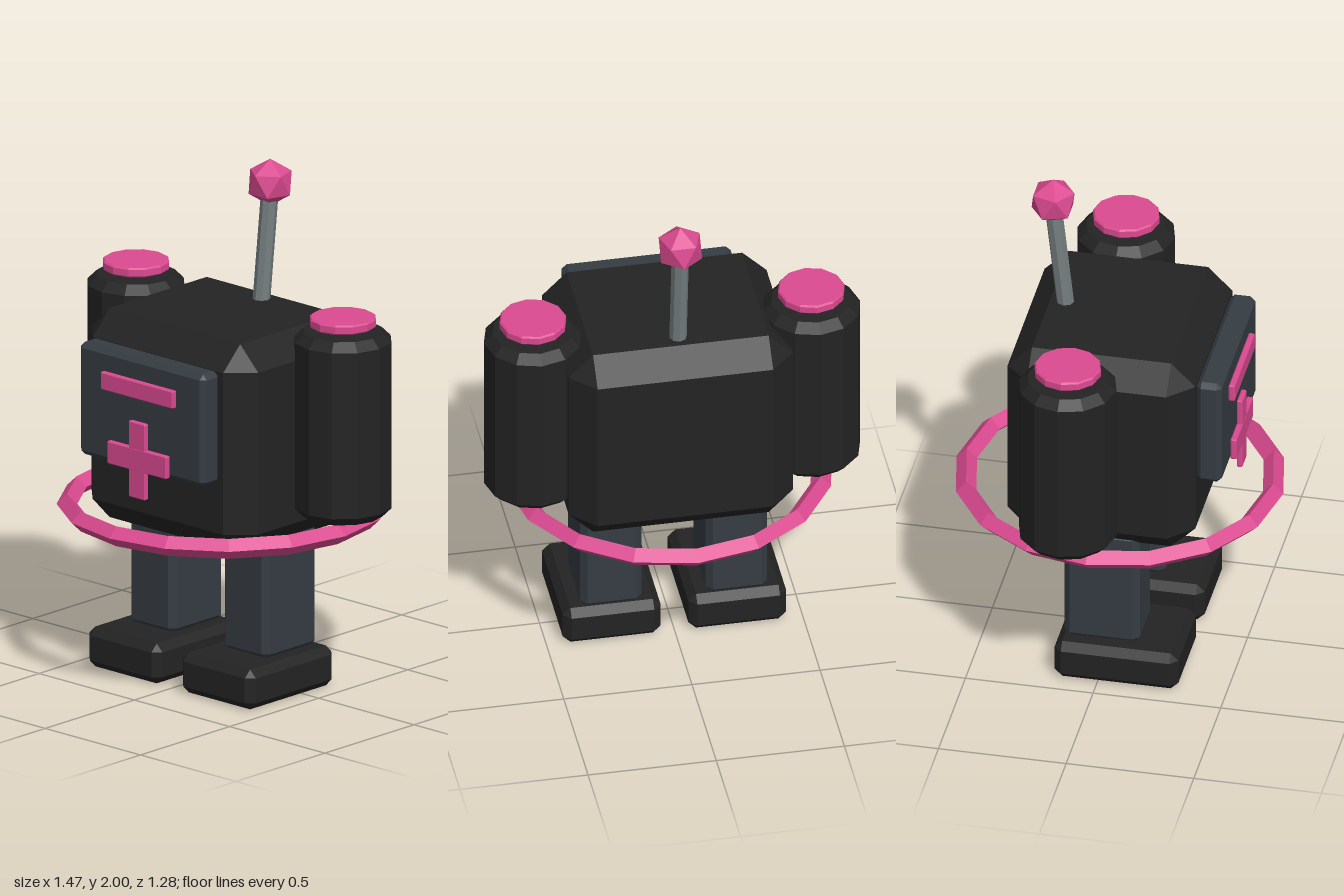
import * as THREE from 'three';
import { ConvexGeometry } from 'three/addons/geometries/ConvexGeometry.js';

const material = (name, color) => {
  const m = new THREE.MeshStandardMaterial({ color, flatShading: true });
  m.name = name;
  return m;
};

// Box with bevelled edges and three-sided corners
function bevelBox(w, h, d, b) {
  const points = [];
  for (const x of [-1, 1]) for (const y of [-1, 1]) for (const z of [-1, 1]) {
    const X = w / 2, Y = h / 2, Z = d / 2;
    points.push(
      new THREE.Vector3(x * X, y * (Y - b), z * (Z - b)),
      new THREE.Vector3(x * (X - b), y * Y, z * (Z - b)),
      new THREE.Vector3(x * (X - b), y * (Y - b), z * Z));
  }
  return new ConvexGeometry(points);
}

// Upright drum with bevelled rims, from y0 to y1
function bevelDrum(r, y0, y1, b) {
  const profile = [[0, y0], [r - b, y0], [r, y0 + b], [r, y1 - b], [r - b, y1], [0, y1]];
  return new THREE.LatheGeometry(profile.map(([x, y]) => new THREE.Vector2(x, y)), 12);
}

export function createModel() {
  const model = new THREE.Group();
  model.name = 'robot';
  const black = material('black shell', 0x232323);
  const slate = material('slate grey', 0x353c43);
  const pink = material('pink', 0xdb4a90);
  const steel = material('steel grey', 0x747d7f);

  const add = (name, geometry, mat, x = 0, y = 0, z = 0) => {
    const mesh = new THREE.Mesh(geometry, mat);
    mesh.name = name;
    mesh.position.set(x, y, z);
    model.add(mesh);
    return mesh;
  };

  // Torso and front panel
  add('body', bevelBox(0.875, 0.84, 0.735, 0.095), black, 0, 1.03, 0);
  add('facePanel', bevelBox(0.66, 0.45, 0.1, 0.02), slate, 0, 1.135, 0.415);

  // Panel markings
  add('visorBar', bevelBox(0.38, 0.07, 0.024, 0.004), pink, 0, 1.24, 0.477);
  add('crossBar', bevelBox(0.31, 0.09, 0.024, 0.004), pink, 0, 0.96, 0.477);
  add('crossPost', bevelBox(0.086, 0.305, 0.022, 0.004), pink, 0, 0.958, 0.477);

  // Waist ring with a diamond cross-section
  const ring = new THREE.TorusGeometry(0.6, 0.04, 4, 16);
  ring.rotateX(Math.PI / 2);
  add('waistRing', ring, pink, 0, 0.68, 0);

  // Mirrored side pods, legs and feet
  for (const [side, s] of [['left', 1], ['right', -1]]) {
    add(side + 'Pod', bevelDrum(0.191, 0.73, 1.465, 0.035), black, s * 0.543, 0, -0.09);
    add(side + 'PodCap', bevelDrum(0.13, 1.484, 1.522, 0.006), pink, s * 0.543, 0, -0.09);
    add(side + 'Leg', bevelBox(0.24, 0.5, 0.295, 0.025), slate, s * 0.245, 0.4, 0.002);
    add(side + 'Foot', bevelBox(0.382, 0.16, 0.485, 0.03), black, s * 0.245, 0.08, 0.072);
  }

  // Antenna leaning back
  const stem = add('antennaStem', new THREE.CylinderGeometry(0.034, 0.034, 0.48, 8), steel, 0, 1.63, -0.234);
  stem.rotation.x = -0.11;
  const tip = new THREE.IcosahedronGeometry(0.094, 0);
  tip.rotateX(-Math.atan((1 + Math.sqrt(5)) / 2));
  add('antennaTip', tip, pink, 0, 1.906, -0.262);

  return model;
}
